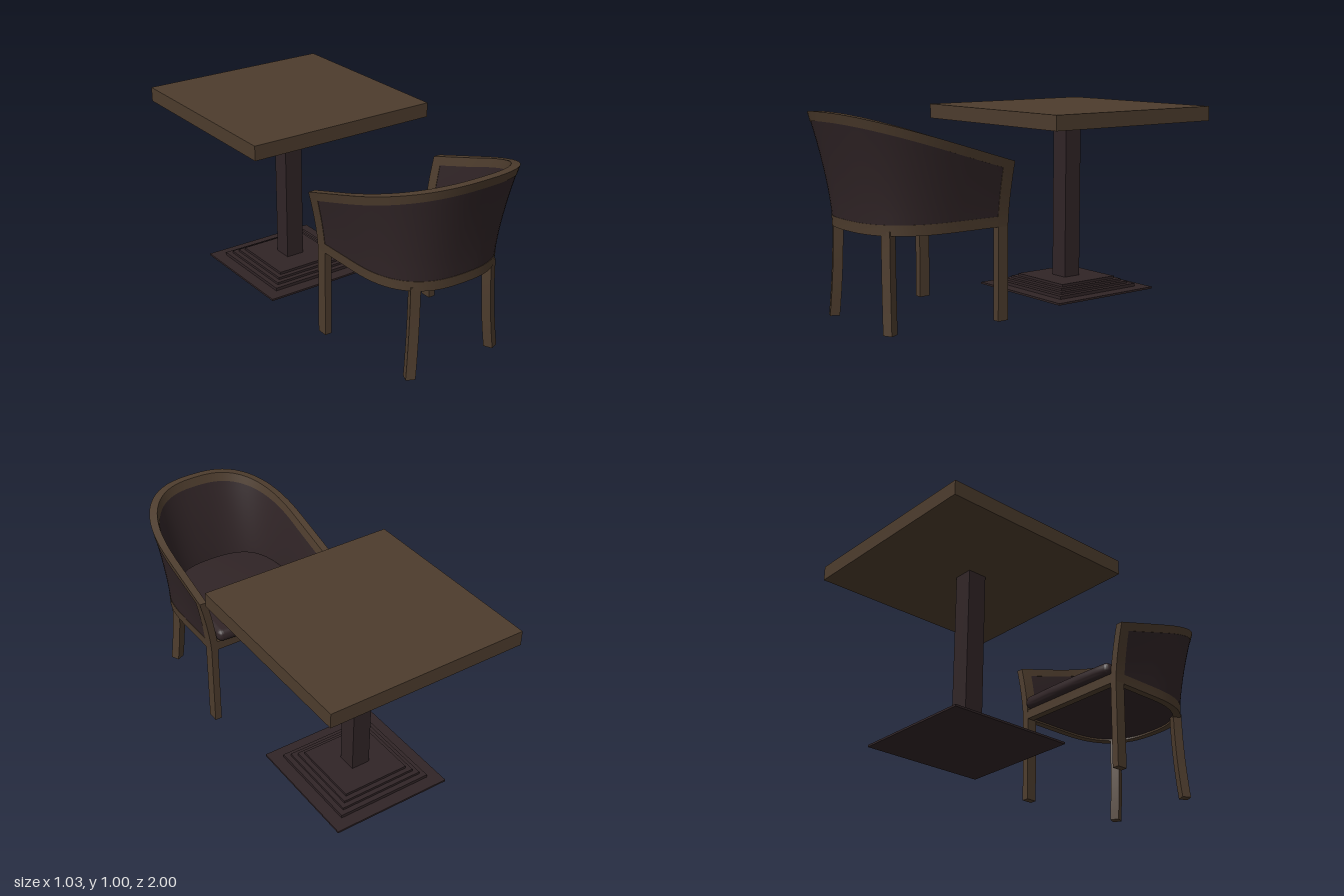
import * as THREE from 'three';
import { toCreasedNormals } from 'three/addons/utils/BufferGeometryUtils.js';

const wood = new THREE.MeshStandardMaterial({ color: 0x4d3c2d });
wood.name = 'brown wood';
const dark = new THREE.MeshStandardMaterial({ color: 0x302426 });
dark.name = 'dark upholstery and metal';

const CX = 0.05;       // chair centre in x
const FRONT = 0.22;    // z of the chair's open side
const BEND = 0.5;      // z where the straight arms turn into the curved back
const SEAT = 0.45;     // underside of the seat rail
const WALL = 0.038;    // thickness of the chair shell
const POST = 0.914;    // position along the U where the front posts begin

function add(parent, name, geometry, material, x = 0, y = 0, z = 0) {
  const mesh = new THREE.Mesh(geometry, material);
  mesh.name = name;
  mesh.position.set(x, y, z);
  parent.add(mesh);
  return mesh;
}

function box(parent, name, material, w, h, d, x, y, z) {
  return add(parent, name, new THREE.BoxGeometry(w, h, d), material, x, y, z);
}

// U-shaped plan: u runs from the right arm (-1) round the back (0) to the left arm (1)
function plan(u, halfWidth, back) {
  const a = Math.abs(u), s = Math.sign(u);
  if (a > 0.6) return [s * halfWidth, THREE.MathUtils.lerp(BEND, FRONT, (a - 0.6) / 0.4)];
  const t = (a / 0.6) * Math.PI / 2, e = 2 / 2.6;
  return [s * halfWidth * Math.sin(t) ** e, BEND + (back - BEND) * Math.max(0, Math.cos(t)) ** e];
}

// Height of the sloping wall above the rail's underside
const wallHeight = u => 0.31 + (plan(u, 0.397, 1)[1] - FRONT) * 0.302;

// Point on the flaring wall, h above the rail's underside
function wallPoint(u, h, inset) {
  const v = h / wallHeight(u), g = v ** 1.5;
  const [x, z] = plan(u, 0.345 + 0.052 * g - inset, 0.885 + 0.115 * g - inset);
  return [x, SEAT + h, z];
}

// Closed thick piece of the wall between two heights and two positions on the U
function wallPiece(u0, u1, low, high, inset = 0, rows = 8) {
  const cols = Math.max(2, Math.ceil((u1 - u0) * 28)), n = 2 * (rows + 1);
  const pos = [], idx = [];
  for (let i = 0; i <= cols; i++) {
    const u = u0 + (u1 - u0) * i / cols;
    for (let k = 0; k < n; k++) {
      const outer = k <= rows, j = outer ? k : n - 1 - k;
      const h = THREE.MathUtils.lerp(low(u), high(u), j / rows);
      pos.push(...wallPoint(u, h, outer ? inset : WALL - inset));
    }
  }
  for (let i = 0; i < cols; i++) {
    for (let k = 0; k < n; k++) {
      const a = i * n + k, d = i * n + (k + 1) % n;
      idx.push(a, a + n, d + n, a, d + n, d);
    }
  }
  // end caps
  for (let j = 0; j < rows; j++) {
    const o = j, p = j + 1, q = n - 2 - j, r = n - 1 - j, e = cols * n;
    idx.push(o, p, q, o, q, r);
    idx.push(e + r, e + q, e + p, e + r, e + p, e + o);
  }
  const g = new THREE.BufferGeometry();
  g.setAttribute('position', new THREE.Float32BufferAttribute(pos, 3));
  g.setIndex(idx);
  return toCreasedNormals(g, 0.6);
}

// Extrudes a plan outline (x, z) downward from y = 0
function slab(shape, depth, bevel = 0) {
  const g = new THREE.ExtrudeGeometry(shape, {
    depth, curveSegments: 10, bevelEnabled: bevel > 0,
    bevelSize: bevel, bevelThickness: bevel, bevelOffset: -bevel, bevelSegments: 5,
  });
  g.rotateX(Math.PI / 2);
  return toCreasedNormals(g, 0.7);
}

function createTable() {
  const table = new THREE.Group();
  table.name = 'table';
  const z = -0.483;
  box(table, 'tableTop', wood, 1.03, 0.075, 1.03, 0, 0.928, -0.485);
  box(table, 'column', dark, 0.1, 0.83, 0.1, 0, 0.475, z);
  // stepped foot plate
  const steps = [[0.322, 0.01], [0.257, 0.026], [0.23, 0.038], [0.205, 0.05], [0.18, 0.063]];
  let y = 0;
  for (const [half, top] of steps) {
    box(table, 'baseStep', dark, half * 2, top - y, half * 2, 0, (y + top) / 2, z);
    y = top;
  }
  return table;
}

function createChair() {
  const chair = new THREE.Group();
  chair.name = 'chair';
  chair.position.x = CX;

  // wooden frame: bottom rail, sloping rim and two front posts
  const zero = () => 0, rail = () => 0.05, full = wallHeight;
  const underRim = u => wallHeight(u) - 0.045;
  add(chair, 'seatRail', wallPiece(-POST, POST, zero, rail, 0, 2), wood);
  add(chair, 'topRim', wallPiece(-POST, POST, underRim, full, 0, 2), wood);
  add(chair, 'rightArmPost', wallPiece(-1, -POST, zero, full), wood);
  add(chair, 'leftArmPost', wallPiece(POST, 1, zero, full), wood);
  box(chair, 'frontRail', wood, 0.62, 0.05, 0.04, 0, 0.475, FRONT + 0.021);

  // upholstered wall inside the frame
  add(chair, 'backUpholstery', wallPiece(-POST, POST, rail, underRim, 0.002, 10), dark);

  // seat base fills the U
  const floor = new THREE.Shape();
  for (let i = 0; i <= 40; i++) {
    const [x, z] = plan(-1 + i / 20, 0.32, 0.86);
    if (i) floor.lineTo(x, Math.max(z, FRONT + 0.02));
    else floor.moveTo(x, FRONT + 0.02);
  }
  floor.closePath();
  add(chair, 'seatBase', slab(floor, 0.045), dark, 0, 0.505, 0);

  // rounded cushion
  const c = new THREE.Shape();
  c.moveTo(-0.28, 0.195);
  c.quadraticCurveTo(0, 0.18, 0.28, 0.195);
  c.quadraticCurveTo(0.312, 0.197, 0.31, 0.24);
  c.lineTo(0.29, 0.56);
  c.bezierCurveTo(0.28, 0.77, 0.19, 0.83, 0, 0.83);
  c.bezierCurveTo(-0.19, 0.83, -0.28, 0.77, -0.29, 0.56);
  c.lineTo(-0.31, 0.24);
  c.quadraticCurveTo(-0.312, 0.197, -0.28, 0.195);
  add(chair, 'seatCushion', slab(c, 0.012, 0.027), dark, 0, 0.54, 0);

  for (const s of [-1, 1]) {
    const side = s < 0 ? 'right' : 'left';
    // straight front legs
    box(chair, side + 'FrontLeg', wood, 0.037, SEAT, 0.058, s * 0.3265, SEAT / 2, FRONT + 0.029);
    // splayed rear legs, curving outward toward the floor
    const g = new THREE.BoxGeometry(0.047, 0.47, 0.047, 1, 8, 1);
    g.rotateY(s * 0.42);
    g.translate(0, 0.235, 0);
    const p = g.attributes.position;
    for (let i = 0; i < p.count; i++) {
      const k = (1 - p.getY(i) / 0.47) ** 2;
      p.setX(i, p.getX(i) + s * 0.026 * k);
      p.setZ(i, p.getZ(i) + 0.012 * k);
    }
    add(chair, side + 'RearLeg', toCreasedNormals(g, 0.6), wood, s * 0.222, 0, 0.803);
  }
  return chair;
}

export function createModel() {
  const model = new THREE.Group();
  model.name = 'tableAndChair';
  model.add(createTable(), createChair());
  return model;
}
